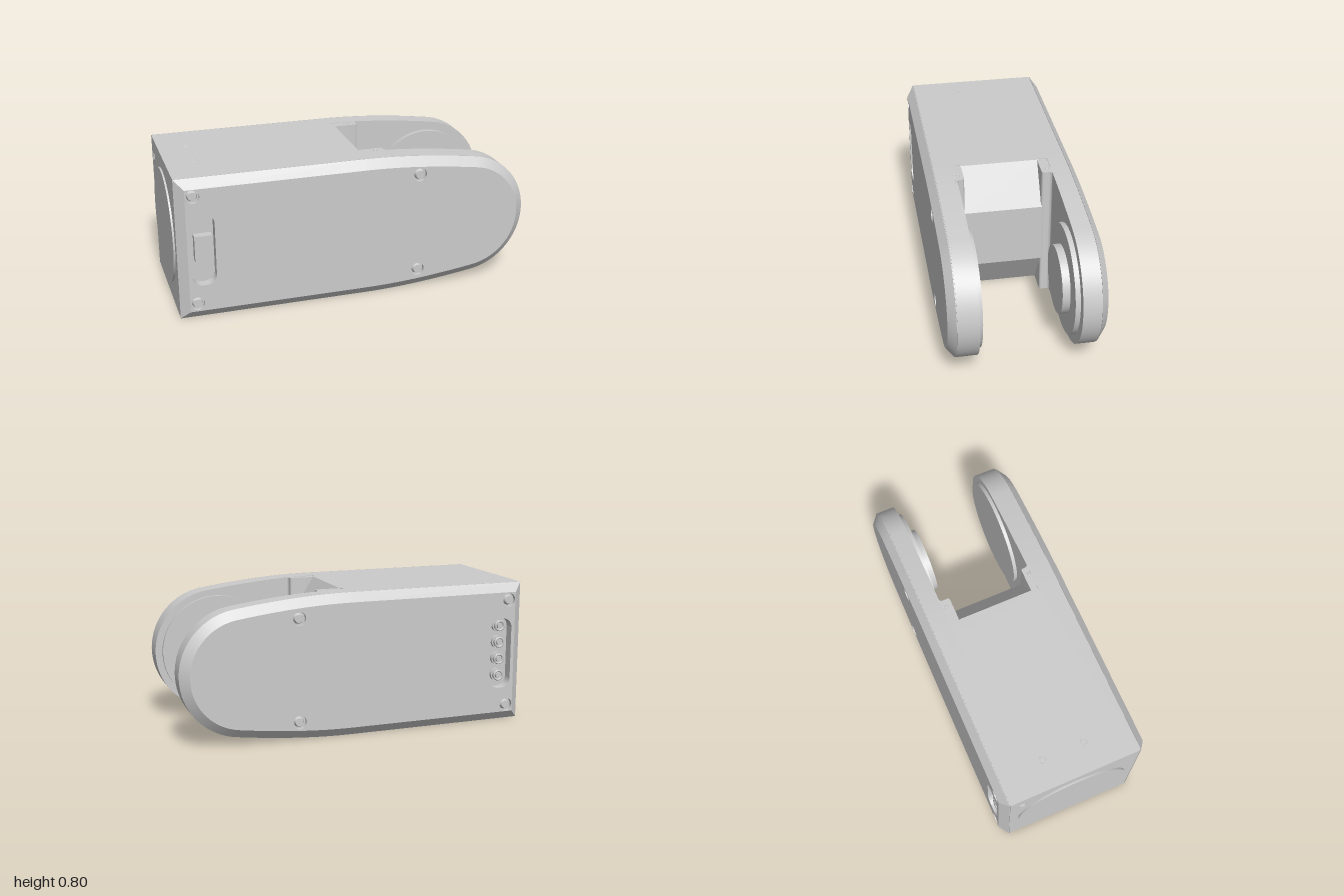
import * as THREE from 'three';
import { toCreasedNormals } from 'three/addons/utils/BufferGeometryUtils.js';

const grey = new THREE.MeshStandardMaterial({ color: 0xcccccc });
const greyDouble = new THREE.MeshStandardMaterial({ color: 0xcccccc, side: THREE.DoubleSide });
const MID = 0.4, FACE = 0.415;

function add(parent, name, geometry, x = 0, y = 0, z = 0, material = grey) {
  const mesh = new THREE.Mesh(geometry, material);
  mesh.name = name;
  mesh.position.set(x, y, z);
  parent.add(mesh);
  return mesh;
}

// Disc whose axis runs along z, from z0 to z1
function disc(parent, name, r, x, y, z0, z1, rTop = r) {
  const g = new THREE.CylinderGeometry(rTop, r, Math.abs(z1 - z0), 64).rotateX(z1 > z0 ? Math.PI / 2 : -Math.PI / 2);
  return add(parent, name, g, x, y, (z0 + z1) / 2);
}

// Tapered side outline with a round nose, inset by d, counter-clockwise
function outline(d) {
  const pts = [new THREE.Vector2(-0.99 + d, d)];
  const a = Math.acos(0.05 / 0.35), r = 0.35 - d;
  const end = new THREE.Vector2(0.65 + r * Math.cos(a), MID - r * Math.sin(a));
  const curve = new THREE.QuadraticBezierCurve(new THREE.Vector2(0.05, d), new THREE.Vector2(0.34, d), end);
  const lower = curve.getPoints(12);
  pts.push(...lower);
  const n = 40;
  for (let i = 1; i < n; i++) {
    const t = -a + (2 * a * i) / n;
    pts.push(new THREE.Vector2(0.65 + r * Math.cos(t), MID + r * Math.sin(t)));
  }
  for (const p of lower.reverse()) pts.push(new THREE.Vector2(p.x, 0.8 - p.y));
  pts.push(new THREE.Vector2(-0.99 + d, 0.8 - d));
  return pts;
}

// Wall joining closed rings of equal point count, each given as [points, z]
function loft(rings) {
  const n = rings[0][0].length, pos = [], idx = [];
  for (const [pts, z] of rings) for (const p of pts) pos.push(p.x, p.y, z);
  for (let k = 0; k < rings.length - 1; k++) {
    for (let i = 0; i < n; i++) {
      const j = (i + 1) % n, a = k * n + i, b = k * n + j;
      idx.push(a, b, b + n, a, b + n, a + n);
    }
  }
  const g = new THREE.BufferGeometry();
  g.setAttribute('position', new THREE.Float32BufferAttribute(pos, 3));
  g.setIndex(idx);
  return toCreasedNormals(g, 0.4);
}

function roundedSlot(x0, x1, y0, y1, r) {
  const s = new THREE.Path();
  s.absarc(x1 - r, y0 + r, r, -Math.PI / 2, 0);
  s.absarc(x1 - r, y1 - r, r, 0, Math.PI / 2);
  s.absarc(x0 + r, y1 - r, r, Math.PI / 2, Math.PI);
  s.absarc(x0 + r, y0 + r, r, Math.PI, Math.PI * 1.5);
  s.closePath();
  return s;
}

// One fork arm with its cover plate, facing +z; inner is the z of its inside face
function makeArm(name, inner) {
  const arm = new THREE.Group();
  arm.name = name;
  const full = outline(0), groove = outline(0.004), panel = outline(0.05);
  add(arm, 'armShell', loft([[full, inner], [full, 0.37], [groove, 0.37], [groove, 0.374], [full, 0.374], [panel, FACE]]));
  add(arm, 'armInnerFace', new THREE.ShapeGeometry(new THREE.Shape(full)), 0, 0, inner, greyDouble);

  // Cover panel with slot and screw wells
  const face = new THREE.Shape(panel);
  const wells = [];
  const cut = (path, depth) => { face.holes.push(path); wells.push([path, depth]); };
  cut(roundedSlot(-0.92, -0.79, 0.2, 0.605, 0.055), 0.055);
  for (const [x, y] of [[-0.9, 0.71], [-0.9, 0.095], [0.355, 0.69], [0.355, 0.12]]) {
    cut(new THREE.Path().absarc(x, y, 0.038, 0, Math.PI * 2), 0.022);
    disc(arm, 'screwHead', 0.029, x, y, FACE - 0.022, FACE - 0.006, 0.022);
  }
  add(arm, 'coverPanel', new THREE.ShapeGeometry(face, 16), 0, 0, FACE);
  for (const [path, depth] of wells) {
    const pts = path.getPoints(16);
    add(arm, 'wellWall', loft([[pts, FACE - depth], [pts, FACE]]), 0, 0, 0, greyDouble);
    add(arm, 'wellFloor', new THREE.ShapeGeometry(new THREE.Shape(pts)), 0, 0, FACE - depth);
  }

  // Cheek beside the notch, with a rounded lip and a fillet into the arm
  const s = new THREE.Shape();
  s.moveTo(0, 0.215);
  s.lineTo(0.185, 0.215);
  s.quadraticCurveTo(0.2, 0.215, 0.2, 0.23);
  s.lineTo(0.2, inner - 0.018);
  s.quadraticCurveTo(0.2, inner, 0.22, inner);
  s.lineTo(0.22, inner + 0.01);
  s.lineTo(0, inner + 0.01);
  const g = new THREE.ExtrudeGeometry(s, { depth: 0.794, bevelEnabled: false, curveSegments: 8 }).rotateX(Math.PI / 2);
  add(arm, 'cheek', toCreasedNormals(g, 0.5), 0, 0.797, 0);
  return arm;
}

export function createModel() {
  const model = new THREE.Group();
  model.name = 'forkedJointHousing';

  // Solid rear block
  add(model, 'rearBlock', new THREE.BoxGeometry(1.04, 0.8, 0.527), -0.47, MID, -0.0085);

  // Bulged wall closing the notch between the arms
  const bulge = new THREE.Shape([[0, 0], [0.06, 0], [0.2, 0.225], [0.2, 0.575], [0.06, 0.8], [0, 0.8]]
    .map(([x, y]) => new THREE.Vector2(x, y)));
  add(model, 'notchWall', new THREE.ExtrudeGeometry(bulge, { depth: 0.44, bevelEnabled: false }), 0, 0, -0.22);

  // Front arm with rocker switch and wide bearing disc
  const front = makeArm('frontArm', 0.255);
  add(front, 'rockerSwitch', new THREE.BoxGeometry(0.095, 0.145, 0.05), -0.852, 0.408, 0.38);
  disc(front, 'bearingDisc', 0.316, 0.645, MID, 0.256, 0.235);
  add(front, 'innerHoleRim', new THREE.TorusGeometry(0.02, 0.004, 8, 24), 0.355, 0.12, 0.255);
  model.add(front);

  // Back arm, turned over, with connectors and stepped hub
  const back = makeArm('backArm', 0.272);
  back.rotation.x = Math.PI;
  back.position.y = 0.8;
  for (let i = 0; i < 4; i++) {
    const y = 0.39 + (i - 1.5) * 0.097;
    disc(back, 'connectorBase', 0.036, -0.855, y, 0.36, 0.378);
    disc(back, 'connectorPin', 0.016, -0.855, y, 0.378, 0.402);
    add(back, 'connectorRing', new THREE.TorusGeometry(0.026, 0.006, 8, 24), -0.855, y, 0.396);
    add(back, 'connectorSleeve', new THREE.CylinderGeometry(0.029, 0.029, 0.02, 24, 1, true).rotateX(Math.PI / 2),
      -0.855, y, 0.387, greyDouble);
  }
  disc(back, 'hubDisc', 0.301, 0.645, MID, 0.273, 0.245);
  disc(back, 'hubBoss', 0.187, 0.645, MID, 0.245, 0.203);
  model.add(back);

  // Round end cap and small hole beside it
  add(model, 'endCap', new THREE.CylinderGeometry(0.32, 0.32, 0.02, 64).rotateZ(Math.PI / 2), -0.99, MID, 0);
  add(model, 'endHoleRim', new THREE.TorusGeometry(0.02, 0.004, 8, 24).rotateY(Math.PI / 2), -0.99, 0.69, -0.3);

  // Rims of the small holes on top and underneath
  const rim = (r, x, y, z) => add(model, 'holeRim', new THREE.TorusGeometry(r, 0.002, 8, 24).rotateX(Math.PI / 2), x, y, z);
  for (const z of [-0.12, 0.115]) rim(0.018, -0.835, 0.799, z);
  for (const z of [-0.25, 0.245]) for (const y of [0.003, 0.797]) rim(0.01, 0.155, y, z);
  return model;
}
